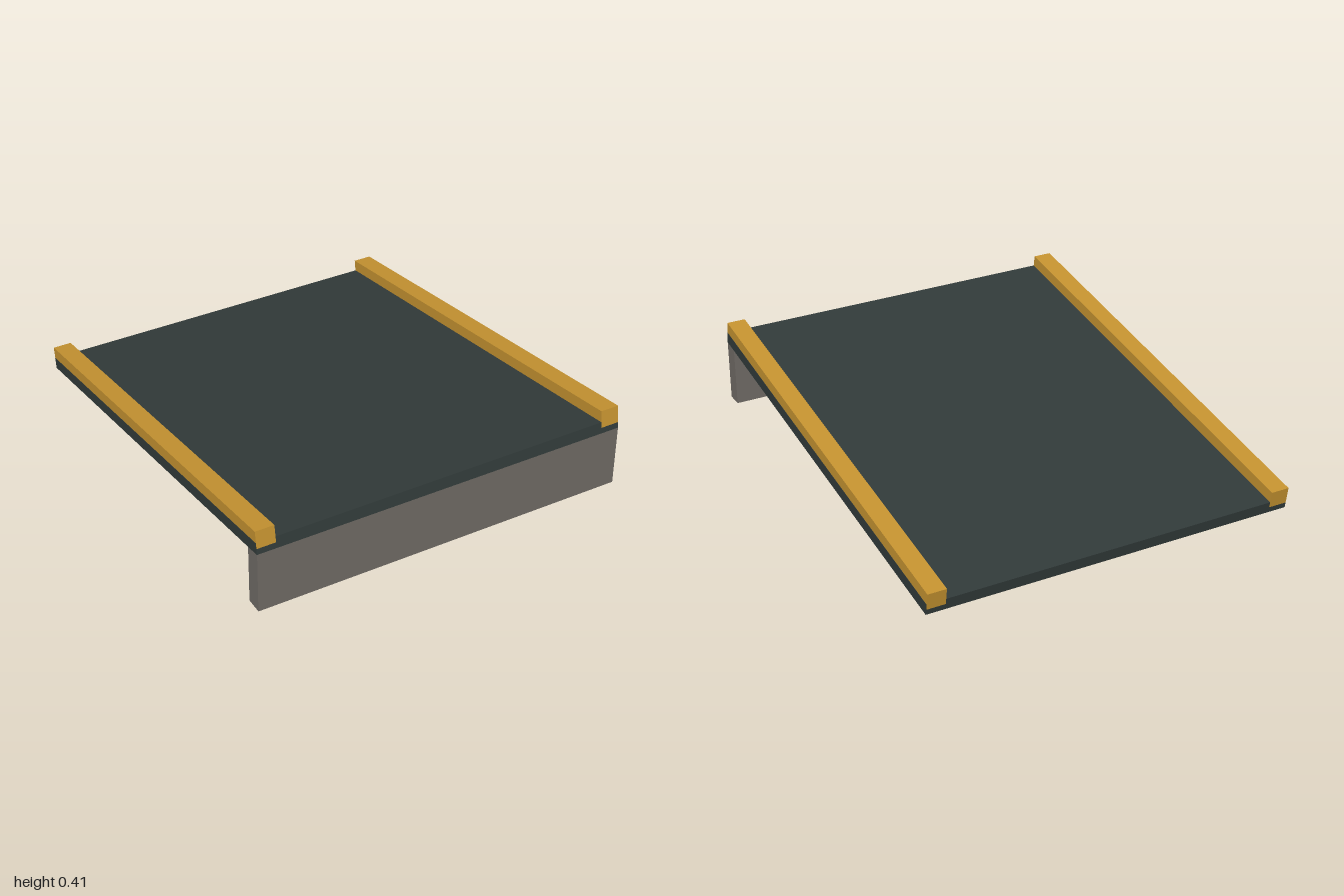
import * as THREE from 'three';

const amber = new THREE.MeshStandardMaterial({ name: 'amber', color: 0xc49230 });
const slate = new THREE.MeshStandardMaterial({ name: 'slate', color: 0x313a39 });
const stone = new THREE.MeshStandardMaterial({ name: 'warm grey', color: 0x6f6a65 });

function box(name, material, size, position, parent) {
  const mesh = new THREE.Mesh(new THREE.BoxGeometry(...size), material);
  mesh.name = name;
  mesh.position.set(...position);
  parent.add(mesh);
  return mesh;
}

export function createModel() {
  const model = new THREE.Group();
  model.name = 'ramp';

  const width = 1.676, length = 2.0085, thickness = 0.051;

  // Sloping deck, hinged about its low back edge
  const deck = new THREE.Group();
  deck.name = 'deck';
  deck.position.set(0, 0, -0.984);
  deck.rotation.x = -0.156;
  model.add(deck);
  box('deckSlab', slate, [width, thickness, length], [0, thickness / 2, length / 2], deck);

  // Kerb rails, sunk halfway into the slab; tiny offsets keep the faces apart
  const railWidth = 0.083, railBottom = 0.026, railTop = 0.102;
  for (const [name, side] of [['leftRail', 1], ['rightRail', -1]]) {
    box(name, amber, [railWidth, railTop - railBottom, length + 0.002],
      [side * (width / 2 - railWidth / 2 - 0.001), (railTop + railBottom) / 2, length / 2], deck);
  }

  // Upright board under the high front edge
  box('supportBoard', stone, [width - 0.002, 0.279, 0.074], [0, 0.1725, 0.963], model);

  return model;
}
